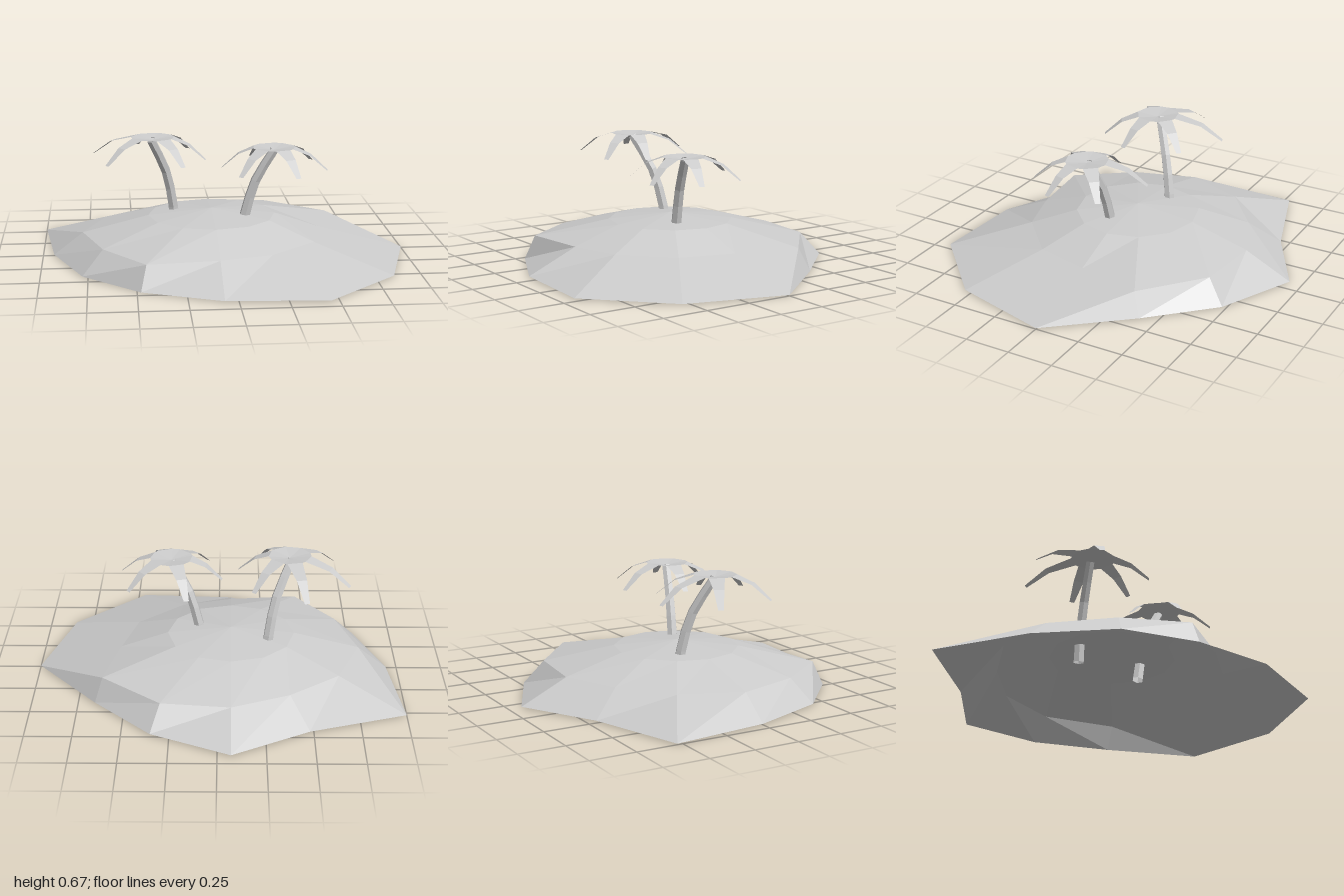
import * as THREE from 'three';

const stone = new THREE.MeshStandardMaterial({ color: 0xcccccc, flatShading: true, side: THREE.DoubleSide });
stone.name = 'light grey';

// Mesh from a list of [x, y, z] corners, three per face
function facetMesh(name, corners) {
  const geo = new THREE.BufferGeometry();
  geo.setAttribute('position', new THREE.Float32BufferAttribute(corners.flat(), 3));
  geo.computeVertexNormals();
  const mesh = new THREE.Mesh(geo, stone);
  mesh.name = name;
  return mesh;
}

// Open dome: an uneven shoreline, a slope ring, a crest ring and a peak
function makeIsland() {
  const at = (y) => ([x, z]) => [x, y, z];
  const shore = [[1, 0], [0.85, 0.54], [0.46, 0.92], [-0.07, 0.89], [-0.48, 0.7], [-0.78, 0.42],
    [-0.94, 0], [-1, -0.53], [-0.48, -0.7], [-0.07, -0.93], [0.35, -0.73], [0.66, -0.41]].map(at(0.005));
  shore[4][1] = 0;
  const slope = [[0.54, 0], [0.46, 0.3], [0.21, 0.53], [-0.07, 0.61], [-0.45, 0.65], [-0.67, 0.35],
    [-0.78, 0], [-0.65, -0.33], [-0.38, -0.54], [-0.07, -0.67], [0.3, -0.63], [0.62, -0.36]].map(at(0.13));
  const crest = shore.map((_, i) => {
    const a = i * Math.PI / 6;
    return [-0.07 + 0.35 * Math.cos(a), 0.22, 0.34 * Math.sin(a)];
  });
  const peak = [-0.07, 0.255, 0];
  const f = [];
  for (let j = 0; j < 12; j++) {
    const i = (j + 1) % 12;
    f.push(peak, crest[i], crest[j]);
    for (const [up, low] of [[crest, slope], [slope, shore]]) {
      f.push(up[j], up[i], low[i], up[j], low[i], low[j]);
    }
  }
  return facetMesh('island', f);
}

// Curved six-sided trunk, narrowing slightly upward
function makeTrunk(points) {
  const curve = new THREE.CatmullRomCurve3(points.map((p) => new THREE.Vector3(...p)));
  const geo = new THREE.TubeGeometry(curve, 5, 0.031, 6, false);
  const pos = geo.attributes.position;
  const v = new THREE.Vector3();
  for (let i = 0; i < pos.count; i++) {
    const t = Math.floor(i / 7) / 5;
    const c = curve.getPointAt(t);
    v.fromBufferAttribute(pos, i).sub(c).multiplyScalar(1 - 0.2 * t).add(c);
    pos.setXYZ(i, v.x, v.y, v.z);
  }
  geo.computeVertexNormals();
  const mesh = new THREE.Mesh(geo, stone);
  mesh.name = 'trunk';
  return mesh;
}

// Star of drooping fronds around a shallow hub; tips are [x, z]
function makeCrown(cx, y, cz, tips) {
  const hub = [cx, y - 0.015, cz];
  const fronds = tips.map(([tx, tz]) => {
    const dx = tx - cx, dz = tz - cz, len = Math.hypot(dx, dz);
    const ux = dx / len, uz = dz / len;
    // [distance, drop, half width] from root to tip
    return [[0.11, 0, 0.042], [len * 0.68, 0.035, 0.028], [len, 0.115, 0.014]].map(([r, drop, w]) =>
      [-1, 1].map((s) => [cx + ux * r - uz * w * s, y - drop, cz + uz * r + ux * w * s]));
  });
  const f = [];
  fronds.forEach((rows, i) => {
    const next = fronds[(i + 1) % fronds.length];
    f.push(hub, rows[0][1], rows[0][0], hub, next[0][0], rows[0][1]);
    for (let k = 0; k < 2; k++) {
      const [a, b] = rows[k], [c, d] = rows[k + 1];
      f.push(a, b, d, a, d, c);
    }
  });
  return facetMesh('fronds', f);
}

function makePalm(name, trunk, crown) {
  const palm = new THREE.Group();
  palm.name = name;
  palm.add(makeTrunk(trunk), makeCrown(...crown));
  return palm;
}

export function createModel() {
  const model = new THREE.Group();
  model.name = 'palmIsland';
  model.add(
    makeIsland(),
    makePalm('tallPalm',
      [[-0.265, 0.14, -0.1], [-0.28, 0.27, -0.085], [-0.315, 0.45, -0.045], [-0.4, 0.65, 0.04]],
      [-0.39, 0.668, 0.05, [[-0.11, 0.12], [-0.24, 0.31], [-0.64, 0.24], [-0.71, -0.11], [-0.47, -0.32], [-0.19, -0.19]]]),
    makePalm('shortPalm',
      [[0.09, 0.14, 0.075], [0.115, 0.26, 0.08], [0.165, 0.43, 0.095], [0.26, 0.6, 0.125]],
      [0.26, 0.618, 0.13, [[0.54, 0.21], [0.36, 0.4], [0.06, 0.35], [-0.02, 0.09], [0.17, -0.19], [0.49, -0.07]]]),
  );
  return model;
}
